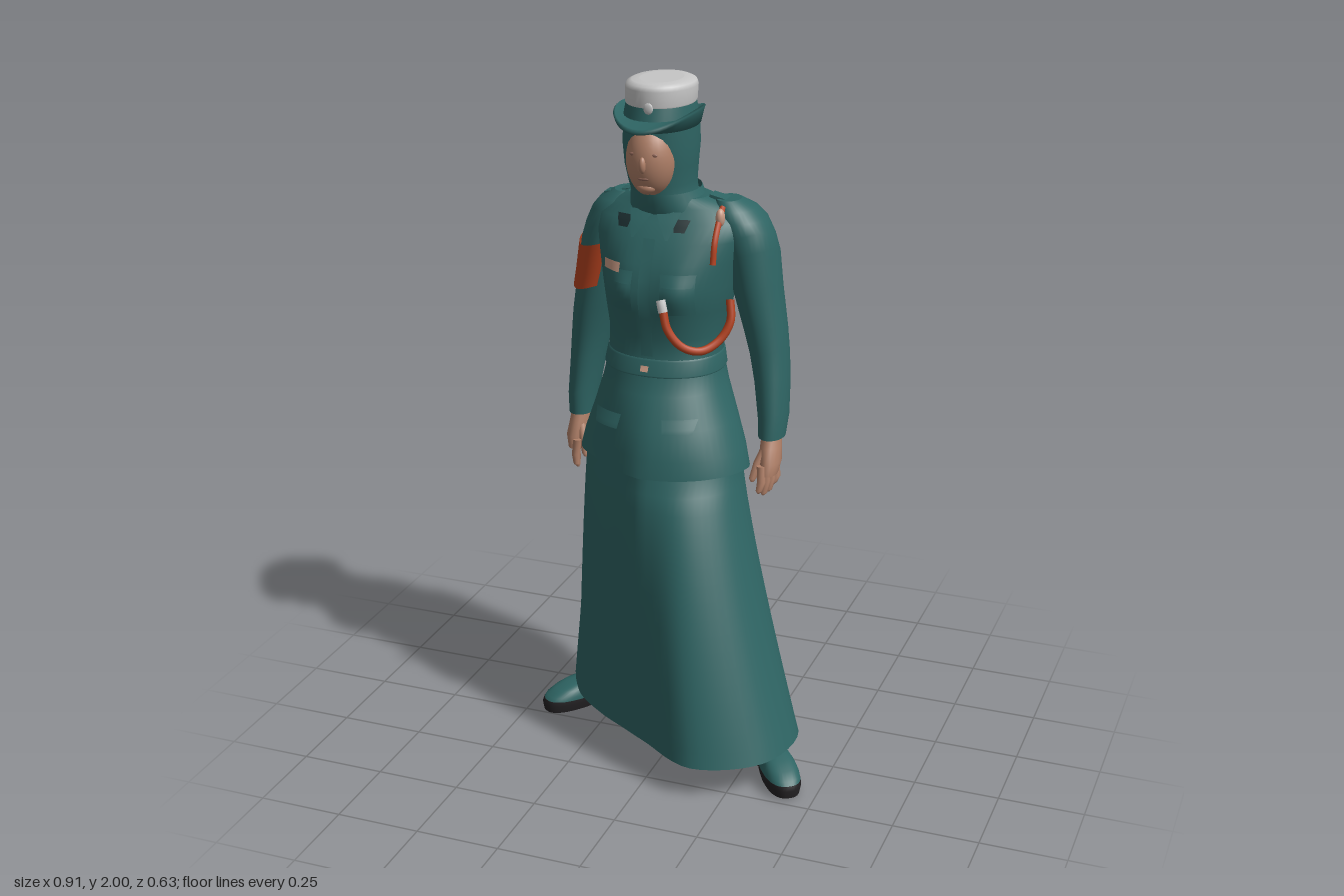
import * as THREE from 'three';

const mat = (name, color, side = THREE.FrontSide) => {
  const m = new THREE.MeshStandardMaterial({ color, side });
  m.name = name;
  return m;
};
const TAU = Math.PI * 2;
const spow = (v, p) => Math.sign(v) * Math.abs(v) ** p;

// Skin over a list of rings, each an array of [x, y, z], from the bottom up
function skin(rings, closed = true) {
  const n = rings[0].length, idx = [];
  for (let j = 0; j < rings.length - 1; j++)
    for (let i = 0; i < (closed ? n : n - 1); i++) {
      const a = j * n + i, b = j * n + (i + 1) % n;
      idx.push(a, a + n, b, b, a + n, b + n);
    }
  const g = new THREE.BufferGeometry();
  g.setAttribute('position', new THREE.Float32BufferAttribute(rings.flat(2), 3));
  g.setIndex(idx);
  g.computeVertexNormals();
  return g;
}

// Stack of oval sections [y, centreX, centreZ, radiusX, radiusZ]; n squares them off
function loft(rows, { n = 2, seg = 36, a0 = 0, a1 = TAU, cap = true, warp } = {}) {
  const closed = a1 - a0 > 6.28, first = rows[0], last = rows[rows.length - 1];
  const flat = r => [r[0], r[1], r[2], 0, 0];
  const all = cap && closed ? [flat(first), first, ...rows, last, flat(last)] : rows;
  return skin(all.map(([y, cx, cz, rx, rz]) => Array.from({ length: closed ? seg : seg + 1 }, (_, i) => {
    const a = a0 + (a1 - a0) * i / seg;
    const p = [cx + rx * spow(Math.cos(a), 2 / n), y, cz + rz * spow(Math.sin(a), 2 / n)];
    return warp ? warp(p, a, rx) : p;
  })), closed);
}

// Section of a stack at height y
function sectionAt(rows, y) {
  let i = 0;
  while (i < rows.length - 2 && rows[i + 1][0] < y) i++;
  const t = (y - rows[i][0]) / (rows[i + 1][0] - rows[i][0]);
  return rows[i].map((v, k) => v + (rows[i + 1][k] - v) * t);
}

const JACKET = [
  [0.88, -0.07, -0.088, 0.264, 0.208], [0.95, -0.07, -0.093, 0.25, 0.205], [1.03, -0.073, -0.106, 0.222, 0.196],
  [1.12, -0.08, -0.127, 0.19, 0.173], [1.2, -0.08, -0.135, 0.168, 0.142], [1.28, -0.078, -0.14, 0.168, 0.145],
  [1.36, -0.072, -0.139, 0.184, 0.157], [1.43, -0.07, -0.144, 0.197, 0.165], [1.5, -0.07, -0.154, 0.21, 0.162],
  [1.56, -0.068, -0.164, 0.226, 0.15], [1.61, -0.068, -0.172, 0.232, 0.125], [1.645, -0.07, -0.17, 0.19, 0.095],
  [1.67, -0.08, -0.165, 0.12, 0.085]];
const JN = 2.15;
const bust = (x, y) => [-0.155, 0.015].reduce((s, c) => s + 0.026 * Math.exp(-(((x - c) / 0.06) ** 2) - ((y - 1.42) / 0.07) ** 2), 0);
// The hips are turned: this trims the right front and left back corners
const hipTrim = (p, a, amount) => {
  const c = Math.cos(a), s = Math.sin(a), d = -c * s > 0 ? amount * -2 * c * s * (s > 0 ? 1 : 0.5) : 0;
  return [p[0] - d * c, p[1], p[2] - d * s];
};
const frontZ = (x, y) => {
  const [, cx, cz, rx, rz] = sectionAt(JACKET, y);
  return cz + rz * Math.max(0, 1 - Math.abs((x - cx) / rx) ** JN) ** (1 / JN) + bust(x, y);
};
// Cloth panel lying on the jacket front; taper pulls its lower edge to a point
function panel(x, y, w, h, lift = 0.006, taper = 0, skew = 0) {
  const g = new THREE.PlaneGeometry(w, h, 8, 6), p = g.attributes.position;
  for (let i = 0; i < p.count; i++) {
    const v = p.getY(i) / h + 0.5;
    const px = x + p.getX(i) * (1 - taper * (1 - v)) + skew * (1 - v), py = y + p.getY(i);
    p.setXYZ(i, px, py, frontZ(px, py) + lift);
  }
  g.computeVertexNormals();
  return g;
}

export function createModel() {
  const model = new THREE.Group();
  model.name = 'uniformedFigure';
  const teal = mat('teal cloth', 0x2e6463, THREE.DoubleSide);
  const white = mat('off white', 0xc6c6c6);
  const skinTone = mat('skin', 0xb08068);
  const skinDark = mat('dark skin', 0x94695a);
  const red = mat('rust red', 0xb4421f, THREE.DoubleSide);
  const black = mat('black leather', 0x232123);
  const dark = mat('dark trim', 0x1b2d2f);
  const pale = mat('pale badge', 0xc89a84);
  const add = (name, geo, m, parent = model) => {
    const mesh = new THREE.Mesh(geo, m);
    mesh.name = name;
    parent.add(mesh);
    return mesh;
  };
  const ball = (name, x, y, z, rx, ry, rz, m) => {
    const b = add(name, new THREE.SphereGeometry(1, 28, 20), m);
    b.position.set(x, y, z);
    b.scale.set(rx, ry, rz);
    return b;
  };

  // Skirt: waist oval blending into a striding, lopsided hem
  const radii = [0.41, 0.43, 0.365, 0.218, 0.187, 0.212, 0.3, 0.43, 0.345, 0.275, 0.25, 0.285];
  const hem = new THREE.CatmullRomCurve3(radii.map((r, i) =>
    new THREE.Vector3(-0.02 + r * Math.cos(i * TAU / 12), 0, r * Math.sin(i * TAU / 12))), true);
  const skirt = [];
  for (let j = 0; j <= 18; j++) {
    const y = 0.1 + 0.84 * j / 18, t = Math.max(0, (0.9 - y) / 0.8);
    skirt.push(Array.from({ length: 72 }, (_, i) => {
      const a = i / 72 * TAU, h = hem.getPoint(i / 72), s = Math.sin(a), c = Math.cos(a);
      // The front swells early, the left side flares late and the back hangs close
      const wz = t ** (s > 0 ? 0.65 : 1), tuck = s < 0 ? 0.1 * s * t * (1 - t) : 0;
      const waist = hipTrim([-0.07 + 0.243 * c, y, -0.09 + 0.185 * s], a, 0.045);
      return [THREE.MathUtils.lerp(waist[0], h.x, t ** (c > 0 ? 1.15 : 1)), y, THREE.MathUtils.lerp(waist[2], h.z, wz) - tuck];
    }));
  }
  skirt.unshift(skirt[0].map(() => [0, 0.12, 0]), skirt[0].map(p => [...p]));
  add('skirt', skin(skirt), teal);

  // Jacket with belt, pockets and front placket; its hem drops towards the back
  add('jacket', loft(JACKET, { n: JN, seg: 56, warp: (p, a) => {
    const q = hipTrim(p, a, 0.045 * THREE.MathUtils.clamp((1.2 - p[1]) / 0.25, 0, 1));
    q[1] += p[1] < 0.9 ? 0.025 * Math.sin(a) + 0.01 * Math.cos(2 * a) : 0;
    q[2] += bust(p[0], p[1]) * Math.max(0, Math.sin(a));
    return q;
  } }), teal);
  const belt = [1.17, 1.175, 1.215, 1.22].map((y, i) => {
    const s = sectionAt(JACKET, y), d = i % 3 ? 0.004 : 0;
    return [y, s[1], s[2], s[3] + d, s[4] + d];
  });
  add('belt', loft(belt, { n: JN, cap: false, seg: 48 }), teal);
  add('buckle', panel(-0.09, 1.193, 0.024, 0.016, 0.009), pale);
  add('placket', panel(-0.085, 1.4, 0.035, 0.34), teal);
  for (const s of [-1, 1]) {
    add('chestPocket', panel(-0.08 + s * 0.09, 1.42, 0.095, 0.11, 0.005), teal);
    add('chestPocketFlap', panel(-0.08 + s * 0.09, 1.465, 0.1, 0.035, 0.009, 0.15), teal);
    add('hipPocketFlap', panel(-0.08 + s * 0.11, 1.045, 0.095, 0.04, 0.004, 0.15), teal);
    add('collarTrim', panel(-0.088 + s * 0.086, 1.607, 0.05, 0.032, 0.01, 0.4), dark);
    add('collarWing', panel(-0.085 + s * 0.04, 1.605, 0.075, 0.07, 0.012, 0.9, s * 0.012), teal);
  }
  add('nameTag', panel(-0.192, 1.488, 0.06, 0.026, 0.015), pale);
  add('collar', loft([[1.63, -0.08, -0.163, 0.125, 0.11], [1.66, -0.083, -0.16, 0.108, 0.118],
    [1.69, -0.087, -0.158, 0.098, 0.119]], { cap: false }), teal);

  // Arms and hands; the model's right arm hangs a little lower and further back
  const ARM = [[0.985, 0.25, -0.125, 0.038, 0.055], [1.05, 0.248, -0.143, 0.043, 0.066], [1.15, 0.235, -0.168, 0.05, 0.072],
    [1.23, 0.222, -0.178, 0.056, 0.074], [1.3, 0.207, -0.184, 0.062, 0.08], [1.42, 0.179, -0.19, 0.071, 0.09],
    [1.52, 0.161, -0.195, 0.076, 0.099], [1.57, 0.145, -0.195, 0.077, 0.1], [1.61, 0.127, -0.19, 0.073, 0.093],
    [1.64, 0.112, -0.183, 0.062, 0.076], [1.665, 0.094, -0.176, 0.036, 0.045]];
  const PALM = [[0.885, 0.258, -0.08, 0.024, 0.041], [0.92, 0.258, -0.09, 0.031, 0.046], [0.96, 0.253, -0.108, 0.03, 0.043], [1.01, 0.25, -0.125, 0.026, 0.036]];
  for (const s of [1, -1]) {
    const side = s > 0 ? 'left' : 'right';
    const place = rows => rows.map(([y, x, z, rx, rz]) => {
      const drop = s > 0 ? 0 : Math.max(0, 1.35 - y);
      return [y - 0.07 * drop, s > 0 ? x : -0.12 - x, z - 0.17 * drop, rx, rz];
    });
    // Soft creases around the sleeve
    const crease = (p, a) => [p[0], p[1] + 0.012 * Math.sin(a * 2) * (p[1] < 1.6 && p[1] > 1.0 ? 1 : 0), p[2]];
    add(side + 'Sleeve', loft(place(ARM), { warp: crease }), teal);
    add(side + 'Palm', loft(place(PALM), { seg: 16 }), skinTone);
    for (let f = 0; f < 4; f++) {
      const z = -0.111 + f * 0.021, tip = 0.825 + [0.02, 0.004, 0, 0.012][f], x = 0.272 - 0.008 * f;
      add(side + 'Finger', loft(place([[tip, x - 0.006, z + 0.018, 0.004, 0.004], [tip + 0.008, x - 0.004, z + 0.017, 0.01, 0.01],
        [0.87, x, z + 0.008, 0.013, 0.012], [0.915, x - 0.005, z, 0.013, 0.012]]), { seg: 10 }), skinTone);
    }
    add(side + 'Thumb', loft(place([[0.865, 0.218, -0.045, 0.005, 0.006], [0.875, 0.219, -0.047, 0.011, 0.011],
      [0.92, 0.229, -0.064, 0.013, 0.013], [0.965, 0.246, -0.09, 0.014, 0.015]]), { seg: 10 }), skinTone);
    const epaulette = add(side + 'Epaulette', new THREE.BoxGeometry(0.1, 0.01, 0.045), teal);
    epaulette.position.set(-0.067 + s * 0.16, 1.66, -0.172);
    epaulette.rotation.z = -s * 0.22;
    if (s < 0) {
      const band = [1.375, 1.42, 1.47, 1.51].map(y => {
        const r = sectionAt(ARM, y);
        return [y, r[1], r[2], r[3] + 0.006, r[4] + 0.006];
      });
      add('armPatch', loft(place(band), { a0: 1.2, a1: 3.5, seg: 20, warp: crease }), red);
    }
  }

  // Head scarf and face
  add('headScarf', loft([[1.63, -0.083, -0.16, 0.105, 0.105], [1.67, -0.09, -0.157, 0.092, 0.108], [1.71, -0.097, -0.155, 0.096, 0.112],
    [1.76, -0.1, -0.153, 0.103, 0.12], [1.82, -0.1, -0.153, 0.108, 0.127], [1.9, -0.1, -0.151, 0.104, 0.128]]), teal);
  ball('face', -0.1, 1.785, -0.079, 0.073, 0.11, 0.081, skinTone);
  ball('nose', -0.1, 1.782, -0.003, 0.011, 0.024, 0.014, skinTone);
  ball('chin', -0.1, 1.712, -0.034, 0.028, 0.018, 0.022, skinTone);
  ball('lips', -0.1, 1.742, -0.011, 0.019, 0.006, 0.008, skinDark);
  for (const s of [-1, 1]) ball('eye', -0.1 + s * 0.027, 1.81, -0.011, 0.014, 0.006, 0.004, skinDark);

  // Hat: upturned brim, band, pale crown and badge
  add('hatBrim', loft([[1.893, -0.1, -0.15, 0.095, 0.12], [1.872, -0.099, -0.145, 0.108, 0.145], [1.876, -0.099, -0.135, 0.117, 0.174],
    [1.886, -0.099, -0.135, 0.121, 0.177], [1.89, -0.099, -0.137, 0.117, 0.17], [1.9, -0.1, -0.15, 0.1, 0.125]], { seg: 48, cap: false,
    warp: (p, a, rx) => [p[0], p[1] + (rx > 0.11 ? 0.036 * Math.cos(a) ** 2 : 0), p[2]] }), teal);
  add('hatBand', loft([[1.88, -0.1, -0.15, 0.106, 0.133], [1.91, -0.1, -0.15, 0.101, 0.126], [1.936, -0.1, -0.15, 0.096, 0.119]]), teal);
  add('hatCrown', loft([[1.93, -0.1, -0.15, 0.094, 0.117], [1.938, -0.1, -0.15, 0.099, 0.121], [1.98, -0.098, -0.15, 0.1, 0.121],
    [1.992, -0.098, -0.15, 0.095, 0.116], [1.998, -0.098, -0.15, 0.082, 0.102], [2, -0.098, -0.15, 0.06, 0.08]]), white);
  ball('hatBadge', -0.092, 1.935, -0.028, 0.014, 0.016, 0.005, white);

  // Cord: a short run at the shoulder, then a loop under the arm
  const tube = (name, pts, r, m) => add(name, new THREE.TubeGeometry(
    new THREE.CatmullRomCurve3(pts.map(p => new THREE.Vector3(...p))), 40, r, 10), m);
  tube('shoulderCord', [[0.095, 1.65, -0.12], [0.098, 1.62, -0.08], [0.1, 1.57, -0.04], [0.1, 1.51, -0.025]], 0.009, red);
  tube('cordLoop', [[-0.022, 1.39, 0.048], [-0.005, 1.33, 0.053], [0.035, 1.28, 0.04], [0.08, 1.265, 0.01], [0.12, 1.29, -0.03],
    [0.143, 1.34, -0.055], [0.137, 1.4, -0.07]], 0.012, red);
  tube('whistle', [[-0.03, 1.412, 0.042], [-0.026, 1.4, 0.046], [-0.02, 1.38, 0.05]], 0.014, white);
  ball('cordClip', 0.1, 1.63, -0.086, 0.013, 0.026, 0.016, pale);

  // Shoes: black sole, heel and ankle, cloth coloured toe
  for (const [side, x, z, turn] of [['left', 0.35, 0.105, 0.63], ['right', -0.343, -0.115, -0.69]]) {
    const shoe = new THREE.Group();
    shoe.name = side + 'Shoe';
    shoe.position.set(x, 0, z);
    shoe.rotation.y = turn;
    model.add(shoe);
    add('sole', loft([[0.006, 0, 0.055, 0.047, 0.09], [0.03, 0, 0.05, 0.053, 0.099], [0.043, 0, 0.048, 0.052, 0.096]], { n: 2.5 }), black, shoe);
    add('shank', loft([[0.014, 0, -0.02, 0.036, 0.11], [0.034, 0, -0.02, 0.04, 0.11]]), black, shoe);
    add('heel', loft([[0, 0, -0.095, 0.038, 0.05], [0.035, 0, -0.095, 0.041, 0.053]], { n: 2.6 }), black, shoe);
    add('ankle', loft([[0.025, 0, -0.052, 0.046, 0.095], [0.06, 0, -0.055, 0.045, 0.09], [0.09, 0, -0.07, 0.042, 0.07],
      [0.2, 0, -0.085, 0.038, 0.048]]), black, shoe);
    add('toe', loft([[0.041, 0, 0.048, 0.052, 0.096], [0.054, 0, 0.044, 0.051, 0.09], [0.07, 0, 0.032, 0.046, 0.072],
      [0.083, 0, 0.016, 0.038, 0.05], [0.09, 0, 0.005, 0.022, 0.025]], { n: 2.5 }), teal, shoe);
  }
  return model;
}
